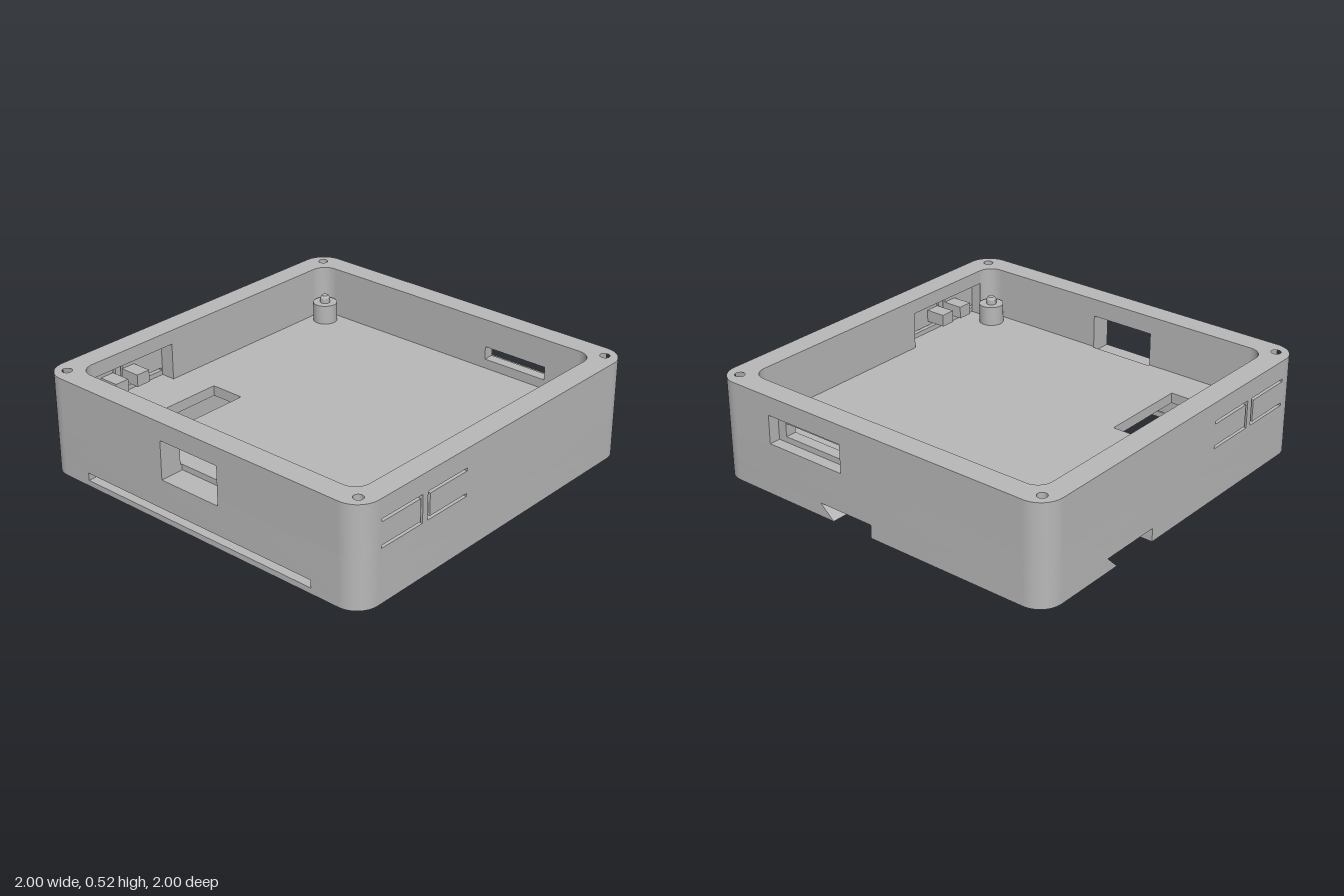
import * as THREE from 'three';
import { toCreasedNormals } from 'three/addons/utils/BufferGeometryUtils.js';

const R = 0.12, H = 0.525, FLOOR = 0.255, IN = 0.88;

// Points of a polygon; a third value on a corner rounds it (right angles only)
function points(list) {
  const out = [];
  list.forEach(([x, y, r], i) => {
    const p = new THREE.Vector2(x, y);
    if (!r) return out.push(p);
    const toward = (q) => new THREE.Vector2(q[0], q[1]).sub(p).setLength(r);
    const v = toward(list[(i + list.length - 1) % list.length]);
    const u = toward(list[(i + 1) % list.length]);
    const c = p.clone().add(u).add(v);
    for (let k = 0; k <= 12; k++) {
      const t = (k / 12) * Math.PI / 2;
      out.push(c.clone().addScaledVector(u, -Math.cos(t)).addScaledVector(v, -Math.sin(t)));
    }
  });
  return out;
}

const rect = (x0, y0, x1, y1) => [[x0, y0], [x1, y0], [x1, y1], [x0, y1]];

function shape(outline, holes = []) {
  const s = new THREE.Shape(points(outline));
  for (const h of holes) s.holes.push(new THREE.Path(points(h)));
  return s;
}

export function createModel() {
  const model = new THREE.Group();
  model.name = 'enclosure';
  const grey = new THREE.MeshStandardMaterial({ color: 0xb8b8b8 });
  grey.name = 'grey plastic';

  function add(name, geometry) {
    const mesh = new THREE.Mesh(toCreasedNormals(geometry, 0.5), grey);
    mesh.name = name;
    model.add(mesh);
    return mesh;
  }
  const extrude = (s, depth) => new THREE.ExtrudeGeometry(s, { depth, bevelEnabled: false, curveSegments: 16 });
  // Slabs between two heights (shape in x,z), two depths (x,y) or two x positions (z,y)
  const slabY = (name, s, y0, y1) => add(name, extrude(s, y1 - y0).rotateX(Math.PI / 2).translate(0, y1, 0));
  const slabZ = (name, s, z0, z1) => add(name, extrude(s, z1 - z0).translate(0, 0, z0));
  const slabX = (name, s, x0, x1) => add(name, extrude(s, x1 - x0).rotateY(-Math.PI / 2).translate(x1, 0, 0));

  // Pockets hollowing the underside
  const pockets = [
    rect(0.62, -0.88, 0.88, -0.62), rect(0.4, -0.88, 0.57, -0.62), rect(0.74, -0.5, 0.9, -0.25),
  ];
  for (const [z0, z1] of [[0.68, 0.86], [0.4, 0.6], [0.12, 0.32], [-0.14, 0.04]]) {
    pockets.push(rect(0.77, z0, 0.9, z1), rect(-0.9, z0, -0.77, z1));
  }
  for (const x of [0.5, 0.22, -0.1, -0.35, -0.55]) pockets.push(rect(x - 0.05, -0.17, x + 0.05, -0.1));
  const cornerPockets = [rect(-0.58, -0.88, -0.06, -0.62), rect(-0.88, -0.88, -0.64, -0.62)];

  // Bottom layers, parted by two crossing hanging channels
  const CH = 0.07;
  const mainOutline = (front) => [
    [-1, -0.21], [0.65, -0.21], [0.65, -0.55], [0.33, -0.55], [0.33, -1],
    [1, -1, R], [1, 1, R], ...front, [-1, 1, R],
  ];
  const slot = [[0.72, 1], [0.72, -0.06], [-0.72, -0.06], [-0.72, 1]];
  slabY('bottomPlate', shape(mainOutline([]), [...pockets, rect(-0.68, -0.02, 0.68, 0.84)]), 0, 0.03);
  slabY('coverSlotLayer', shape(mainOutline(slot), pockets), 0.03, CH);
  slabY('bottomCornerBlock',
    shape([[-1, -1, R], [0.01, -1], [0.01, -0.55], [-1, -0.55]], cornerPockets), 0, CH);

  // Slanted undercuts of the channels
  slabZ('channelUndercut', shape([[0.33, 0], [0.25, 0], [0.33, CH]]), -1, -0.55);
  const lip = shape([[-0.55, 0], [-0.48, 0], [-0.55, CH]]);
  slabX('channelUndercut', lip, -1, 0.01);
  slabX('channelUndercut', lip, 0.25, 0.65);

  // Body above the channels, tray ribs and floor
  const full = [[-1, -1, R], [1, -1, R], [1, 1, R], [-1, 1, R]];
  const notched = [[-1, -1, R], [1, -1, R], [1, 1, R],
    [0.16, 1], [0.16, 0.87], [-0.2, 0.87], [-0.2, 1], [-1, 1, R]];
  const vent = rect(-0.67, 0.19, -0.48, 0.68);
  slabY('baseBody', shape(full, [...pockets, ...cornerPockets, rect(-0.68, 0.05, 0.68, 0.78)]), CH, 0.2);
  slabY('floorUnderside', shape(full, [vent]), 0.2, 0.225);
  slabY('floor', shape(notched, [vent]), 0.225, FLOOR);
  for (const x of [-0.225, 0.22]) {
    add('trayRib', new THREE.BoxGeometry(0.02, 0.17, 0.88).translate(x, 0.115, 0.39));
  }

  // Front wall with window
  slabZ('frontWall', shape([
    [-IN, FLOOR], [-0.2, FLOOR], [-0.2, 0.43], [0.16, 0.43], [0.16, FLOOR], [IN, FLOOR], [IN, H], [-IN, H],
  ]), IN, 1);

  // Back wall with a stepped port
  const wall = rect(-IN, FLOOR, IN, H);
  slabZ('backWallOuter', shape(wall, [rect(0.19, 0.275, 0.65, 0.425)]), -1, -0.94);
  slabZ('backWallInner', shape(wall, [rect(0.23, 0.305, 0.6, 0.375)]), -0.94, -IN);

  // Side walls: thin skin with slits around two flexing buttons, recess behind
  const slit = [[0.86, 0.28], [0.585, 0.28], [0.585, 0.425], [0.86, 0.425],
    [0.86, 0.41], [0.6, 0.41], [0.6, 0.295], [0.86, 0.295]];
  const skin = shape(wall, [slit, slit.map(([z, y]) => [1.135 - z, y])]);
  const inner = shape([
    [-IN, FLOOR], [0.27, FLOOR], [0.27, 0.45], [0.825, 0.45], [0.825, FLOOR], [IN, FLOOR], [IN, H], [-IN, H],
  ]);
  for (const side of [-1, 1]) {
    const slab = (name, s, a, b) => slabX(name, s, Math.min(a * side, b * side), Math.max(a * side, b * side));
    slab('sideSkin', skin, 0.96, 1);
    slab('sideWallInner', inner, IN, 0.96);
    for (const z of [0.5, 0.64]) {
      add('buttonBlock', new THREE.BoxGeometry(0.11, 0.065, 0.08).translate(side * 0.905, 0.352, z));
    }
  }

  // Corners with screw holes, inner fillets and board posts
  const hole = [[0.895, 0.895, 0.025], [0.945, 0.895, 0.025], [0.945, 0.945, 0.025], [0.895, 0.945, 0.025]];
  const fillet = [[IN, IN]];
  for (let k = 0; k <= 8; k++) {
    const t = (k / 8) * Math.PI / 2;
    fillet.push([0.8 + 0.08 * Math.cos(t), 0.8 + 0.08 * Math.sin(t)]);
  }
  const post = [[0.065, 0], [0.065, 0.105], [0.027, 0.105], [0.027, 0.13], [0.017, 0.145], [0, 0.145]]
    .map(([r, y]) => new THREE.Vector2(r, y));
  for (const sx of [-1, 1]) {
    for (const sz of [-1, 1]) {
      const flip = (list) => list.map(([x, z, r]) => [x * sx, z * sz, r]);
      slabY('corner', shape(flip([[IN, IN], [1, IN], [1, 1, R], [IN, 1]]), [flip(hole)]), FLOOR, H);
      slabY('innerFillet', shape(flip(fillet)), FLOOR, H);
      add('boardPost', new THREE.LatheGeometry(post, 32).translate(sx * 0.795, FLOOR, sz * 0.795));
    }
  }
  return model;
}
